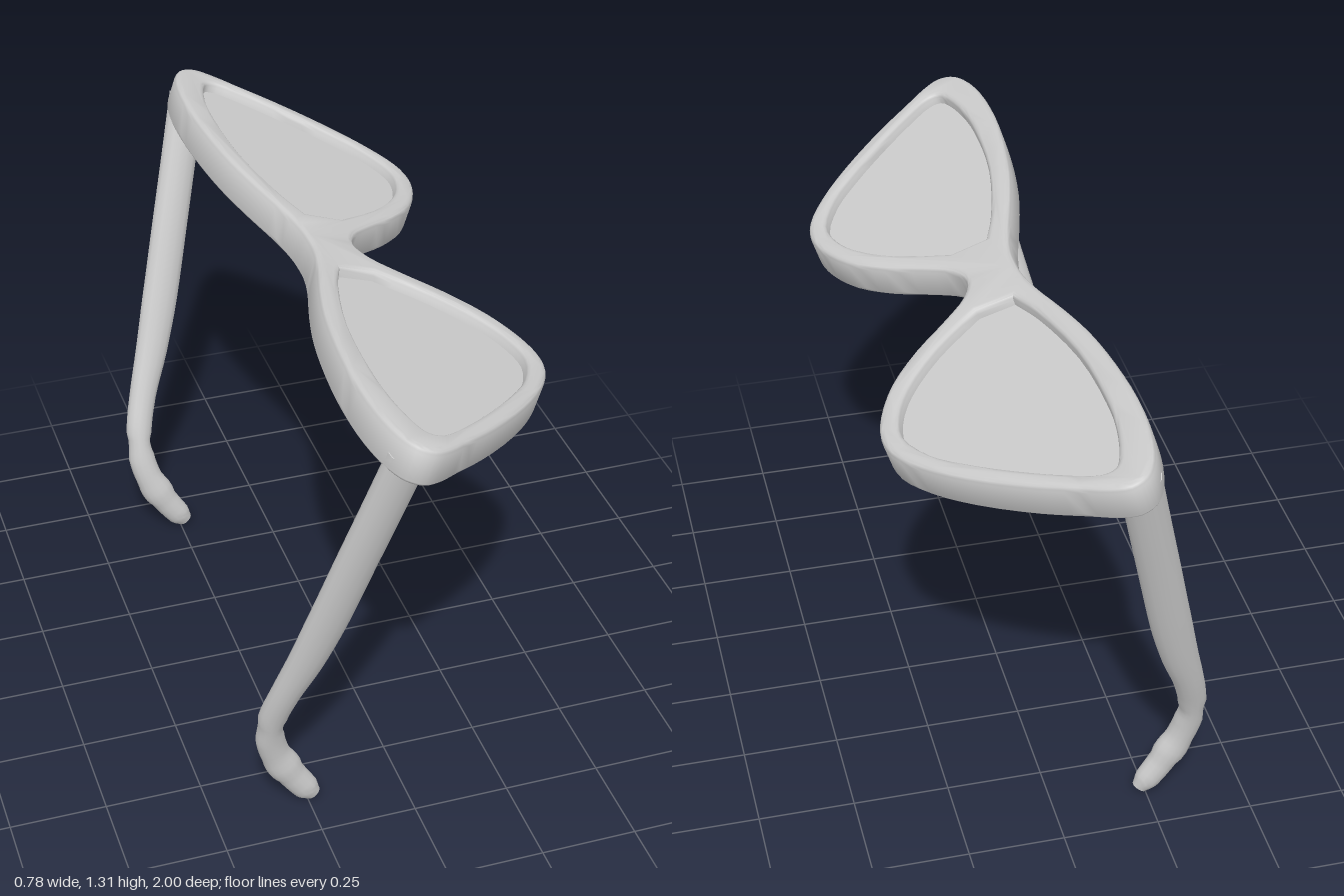
import * as THREE from 'three';
import { toCreasedNormals } from 'three/addons/utils/BufferGeometryUtils.js';

const TILT = 0.32; // slope of the frame, falling towards +x
const CENTRE = new THREE.Vector3(0.1025, 1.183, 0);
const DEPTH = 0.097;
const BEVEL = 0.016; // less than half the narrowest part of the rim

const material = new THREE.MeshStandardMaterial({ color: 0xcccccc });

// Plan coordinates (x, z) to the tilted plane of the frame
const toPlane = ([x, z]) => new THREE.Vector3((x - CENTRE.x) / Math.cos(TILT), z, 0);
const smooth = (points, closed, n) =>
  new THREE.CatmullRomCurve3(points.map(toPlane), closed, 'centripetal')
    .getPoints(n).map((p) => new THREE.Vector2(p.x, p.y));

// Half of the rim outline, from the lower bridge round the lens to the upper bridge
const rimHalf = [
  [0.064, 0], [0.085, 0.06], [0.147, 0.122], [0.237, 0.198], [0.317, 0.291], [0.364, 0.39],
  [0.38, 0.47], [0.37, 0.545], [0.32, 0.638], [0.235, 0.743], [0.116, 0.858], [0.026, 0.93],
  [-0.035, 0.978], [-0.08, 0.998], [-0.12, 0.985], [-0.148, 0.94], [-0.17, 0.84], [-0.176, 0.7],
  [-0.167, 0.55], [-0.147, 0.4], [-0.117, 0.27], [-0.078, 0.13], [-0.064, 0.05], [-0.062, 0],
];

// Lens edge, open between its two corners beside the bridge
const lensEdge = [
  [0.07, 0.14], [0.19, 0.228], [0.283, 0.335], [0.322, 0.42], [0.331, 0.5], [0.288, 0.605],
  [0.222, 0.687], [0.13, 0.78], [0.028, 0.869], [-0.035, 0.912], [-0.065, 0.91], [-0.083, 0.875],
  [-0.105, 0.77], [-0.111, 0.65], [-0.1, 0.45], [-0.055, 0.24], [-0.02, 0.143],
];

const mirrored = (points, side) => points.map(([x, z]) => [x, z * side]);

function makeFrame() {
  const otherHalf = mirrored(rimHalf.slice(1, -1), -1).reverse();
  const outline = smooth([...rimHalf, ...otherHalf], true, 138);
  outline.pop();
  const shape = new THREE.Shape(outline);
  for (const side of [1, -1])
    shape.holes.push(new THREE.Path(smooth(mirrored(lensEdge, side), false, 48)));
  const geometry = new THREE.ExtrudeGeometry(shape, {
    depth: DEPTH - 2 * BEVEL, bevelEnabled: true, bevelThickness: BEVEL,
    bevelSize: BEVEL, bevelOffset: -BEVEL, bevelSegments: 4,
  });
  geometry.translate(0, 0, BEVEL - DEPTH / 2);
  const frame = new THREE.Mesh(toCreasedNormals(geometry, 0.7), material);
  frame.name = 'frame';
  return frame;
}

function makeLens(side) {
  const shape = new THREE.Shape(smooth(mirrored(lensEdge, side), false, 48));
  const geometry = new THREE.ExtrudeGeometry(shape, { depth: 0.012, bevelEnabled: false });
  geometry.translate(0, 0, 0.006);
  const lens = new THREE.Mesh(geometry, material);
  lens.name = side > 0 ? 'leftLens' : 'rightLens';
  return lens;
}

// Temple arm stations: x, y, z, broad width, thin width
const armStations = [
  [-0.105, 1.25, 0.932, 0.103, 0.07], [-0.148, 1.08, 0.885, 0.103, 0.068],
  [-0.194, 0.9, 0.835, 0.104, 0.066], [-0.245, 0.7, 0.78, 0.104, 0.064],
  [-0.288, 0.55, 0.737, 0.094, 0.062], [-0.328, 0.43, 0.699, 0.079, 0.06],
  [-0.352, 0.33, 0.665, 0.075, 0.06], [-0.353, 0.255, 0.645, 0.075, 0.06],
  [-0.335, 0.183, 0.632, 0.076, 0.06], [-0.297, 0.107, 0.626, 0.076, 0.06],
  [-0.256, 0.045, 0.625, 0.07, 0.056], [-0.234, 0.017, 0.625, 0.042, 0.032],
];

function makeArm(side) {
  const path = new THREE.CatmullRomCurve3(
    armStations.map(([x, y, z]) => new THREE.Vector3(x, y, z * side)));
  const widths = new THREE.CatmullRomCurve3(
    armStations.map(([, , , broad, thin]) => new THREE.Vector3(broad, thin, 0)));
  const rings = 44, sides = 14;
  const positions = [], index = [];
  // Elliptical rings along the path
  for (let i = 0; i <= rings; i++) {
    const p = path.getPoint(i / rings), w = widths.getPoint(i / rings);
    const t = path.getTangent(i / rings);
    const b = new THREE.Vector3(0, 0, 1).addScaledVector(t, -t.z).normalize();
    const n = new THREE.Vector3().crossVectors(b, t);
    for (let j = 0; j < sides; j++) {
      const a = (j / sides) * Math.PI * 2;
      const v = p.clone().addScaledVector(n, Math.cos(a) * w.x / 2)
        .addScaledVector(b, Math.sin(a) * w.y / 2);
      positions.push(v.x, v.y, v.z);
      const k = (j + 1) % sides, r = i * sides;
      if (i < rings) index.push(r + j, r + k, r + sides + j, r + k, r + sides + k, r + sides + j);
    }
  }
  // End caps
  for (const [ring, flip] of [[0, true], [rings, false]]) {
    const c = positions.length / 3, p = path.getPoint(ring / rings), r = ring * sides;
    positions.push(p.x, p.y, p.z);
    for (let j = 0; j < sides; j++) {
      const k = (j + 1) % sides;
      index.push(c, r + (flip ? k : j), r + (flip ? j : k));
    }
  }
  const geometry = new THREE.BufferGeometry();
  geometry.setAttribute('position', new THREE.Float32BufferAttribute(positions, 3));
  geometry.setIndex(index);
  const arm = new THREE.Mesh(toCreasedNormals(geometry, 0.8), material);
  arm.name = side > 0 ? 'leftArm' : 'rightArm';
  return arm;
}

export function createModel() {
  const model = new THREE.Group();
  model.name = 'glasses';

  // Frame and lenses lie in one tilted plane
  const front = new THREE.Group();
  front.name = 'frameFront';
  front.position.copy(CENTRE);
  front.rotation.set(-Math.PI / 2, 0, -TILT, 'ZYX');
  front.add(makeFrame(), makeLens(1), makeLens(-1));

  model.add(front, makeArm(1), makeArm(-1));
  return model;
}
